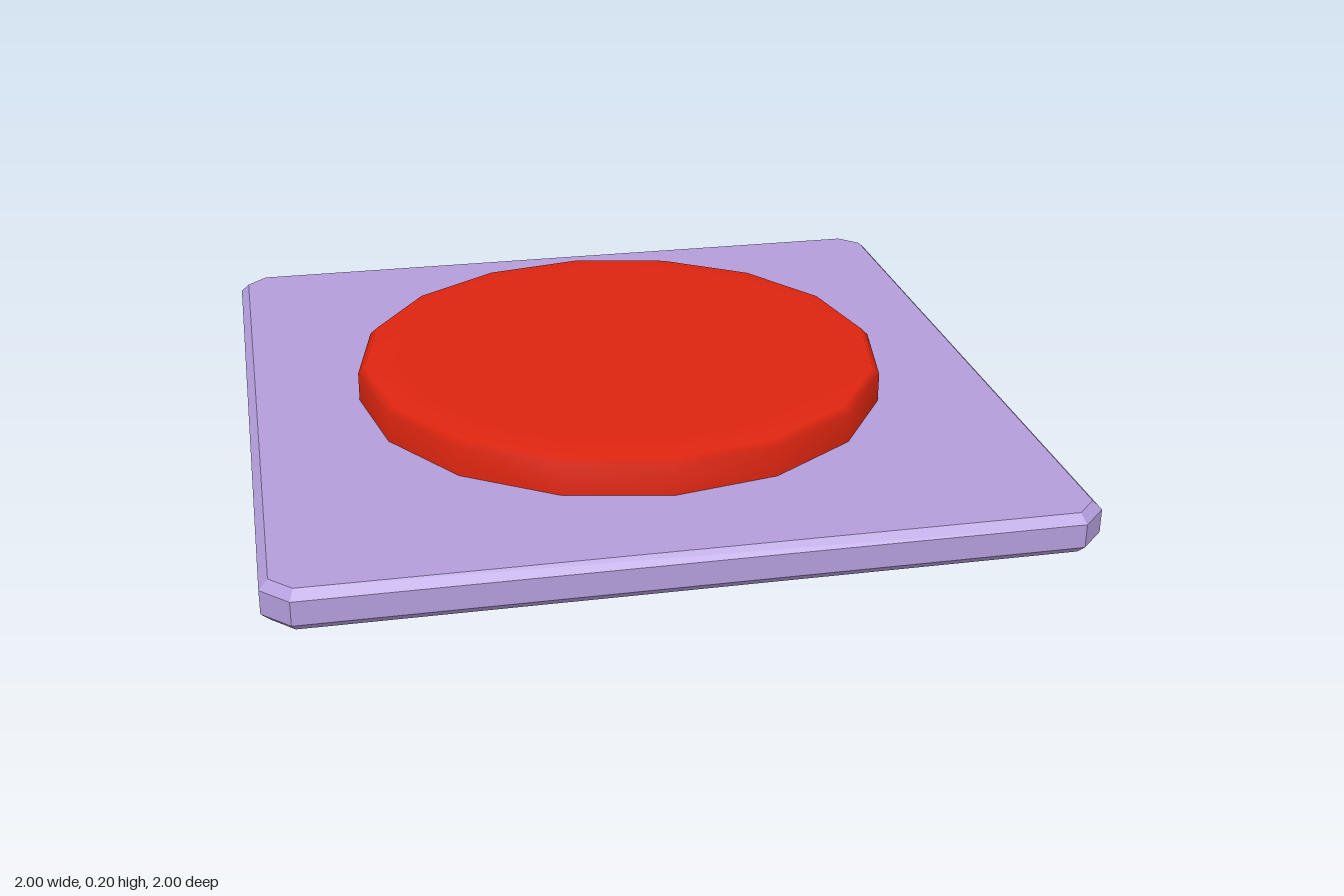
import * as THREE from 'three';

const lilac = new THREE.MeshStandardMaterial({ name: 'lilac', color: 0xb39ddb });
const red = new THREE.MeshStandardMaterial({ name: 'red', color: 0xdd2510 });

// Square plate with cut corners and chamfered top and bottom edges
function createBasePlate() {
  const half = 0.978, corner = 0.925, bevel = 0.022, height = 0.105;
  const points = [];
  for (let i = 0; i < 4; i++) {
    const turn = new THREE.Vector2();
    for (const [x, y] of [[half, -corner], [half, corner]]) {
      points.push(new THREE.Vector2(x, y).rotateAround(turn, i * Math.PI / 2));
    }
  }
  const geometry = new THREE.ExtrudeGeometry(new THREE.Shape(points), {
    depth: height - 2 * bevel,
    bevelThickness: bevel,
    bevelSize: bevel,
    bevelSegments: 1,
  });
  geometry.rotateX(-Math.PI / 2).translate(0, bevel, 0);
  const mesh = new THREE.Mesh(geometry, lilac);
  mesh.name = 'basePlate';
  return mesh;
}

// Sixteen-sided button with a soft rim, smooth shaded
function createButton() {
  const profile = [
    [0.706, 0.1], [0.706, 0.182], [0.688, 0.2], [0.6, 0.2], [0, 0.2],
  ].map(([r, y]) => new THREE.Vector2(r, y));
  const mesh = new THREE.Mesh(new THREE.LatheGeometry(profile, 16), red);
  mesh.name = 'button';
  return mesh;
}

export function createModel() {
  const model = new THREE.Group();
  model.name = 'pushButton';
  model.add(createBasePlate(), createButton());
  return model;
}
